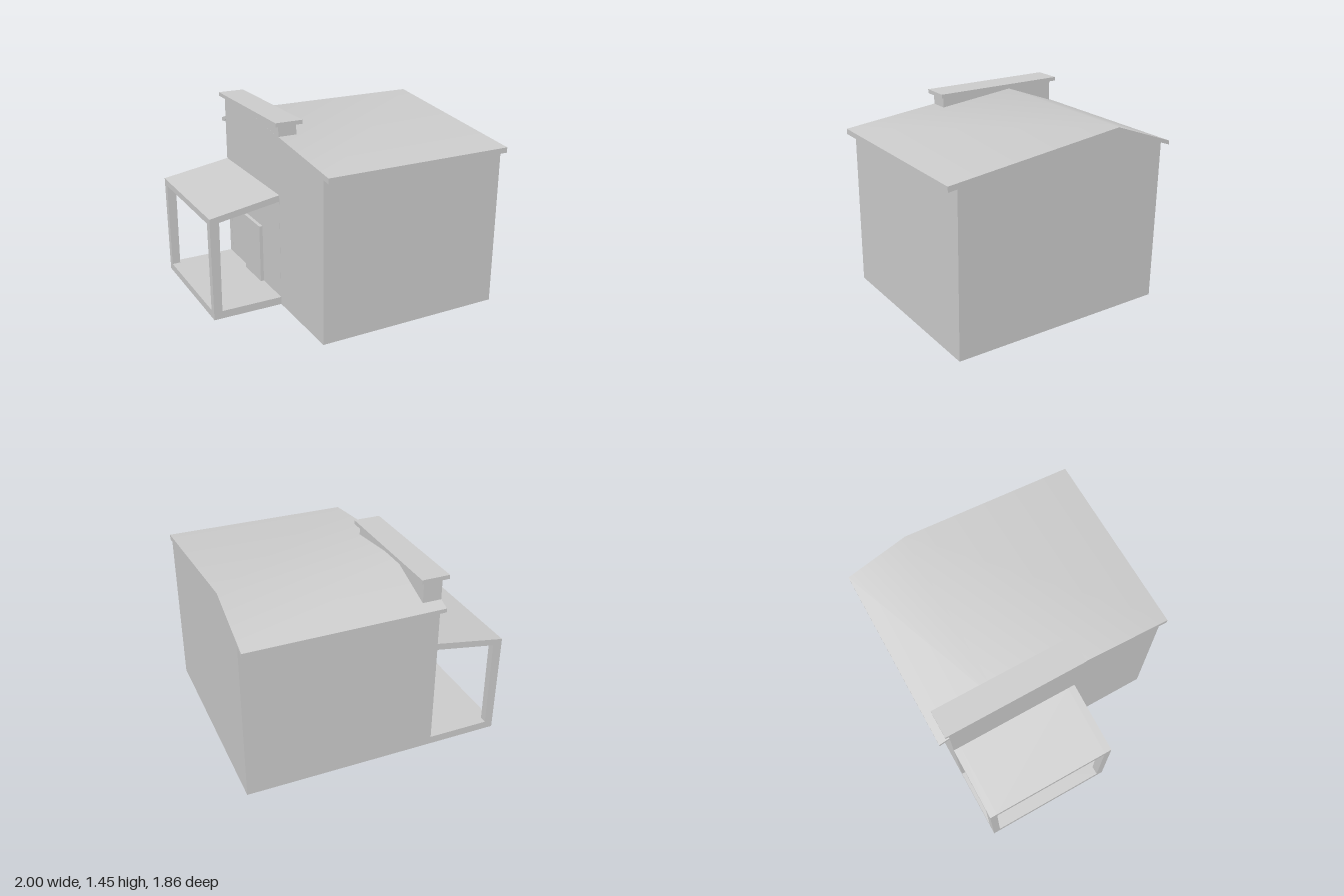
import * as THREE from 'three';
import { toCreasedNormals } from 'three/addons/utils/BufferGeometryUtils.js';

const material = new THREE.MeshStandardMaterial({ color: 0xcccccc });

const toShape = (points) => new THREE.Shape(points.map(([a, b]) => new THREE.Vector2(a, b)));

function addMesh(parent, name, geometry) {
  const mesh = new THREE.Mesh(geometry, material);
  mesh.name = name;
  parent.add(mesh);
  return mesh;
}

// Box given by its minimum and maximum corners
function addBox(parent, name, min, max) {
  const size = max.map((v, i) => v - min[i]);
  const geometry = new THREE.BoxGeometry(...size);
  geometry.translate(...max.map((v, i) => (v + min[i]) / 2));
  return addMesh(parent, name, geometry);
}

// Profile in (z, y) swept along x
function sweepX(shape, x0, x1) {
  const geometry = new THREE.ExtrudeGeometry(shape, { depth: x1 - x0, bevelEnabled: false });
  geometry.rotateY(-Math.PI / 2);
  geometry.translate(x1, 0, 0);
  return toCreasedNormals(geometry, 0.6); // soft ridge, sharp corners
}

// Profile in (x, y) swept along z
function sweepZ(shape, z0, z1) {
  const geometry = new THREE.ExtrudeGeometry(shape, { depth: z1 - z0, bevelEnabled: false });
  geometry.translate(0, 0, z0);
  return geometry;
}

export function createModel() {
  const house = new THREE.Group();
  house.name = 'house';

  const wallX = -0.455, back = -0.845, front = 0.86;

  // Main block with an off-centre ridge and overhanging eaves
  addMesh(house, 'mainBlock', sweepX(toShape([
    [back, 0], [front, 0], [front, 1.217], [0.928, 1.21], [0.928, 1.25],
    [-0.435, 1.4], [-0.928, 1.22], [-0.928, 1.19], [back, 1.22],
  ]), wallX, 1));

  // Parapet rising from the roof along the side wall, with its cap
  addMesh(house, 'parapet', sweepX(toShape([
    [0.178, 1.333], [0.178, 1.415], [back, 1.415], [back, 1.25], [-0.435, 1.4],
  ]), wallX, -0.313));
  addBox(house, 'parapetCap', [-0.49, 1.415, -0.877], [-0.28, 1.445, 0.21]);

  // Side porch: open end frames joined by floor, sloping roof
  const porch = new THREE.Group();
  porch.name = 'porch';
  house.add(porch);
  const z0 = back, z1 = 0.172, post = 0.055;
  const outline = [[-1, 0], [wallX, 0], [wallX, 0.89], [-1, 0.8]];
  const opening = [[-0.935, 0.06], [wallX - 0.001, 0.06], [wallX - 0.001, 0.84], [-0.928, 0.763]];
  const frame = toShape(outline);
  frame.holes.push(toShape(opening));
  addMesh(porch, 'backFrame', sweepZ(frame, z0, z0 + post));
  addMesh(porch, 'frontFrame', sweepZ(frame, z1 - post, z1));
  addBox(porch, 'porchFloor', [-1, 0, z0 + post], [wallX, 0.06, z1 - post]);
  addMesh(porch, 'porchRoof', sweepZ(
    toShape([[-1, 0.751], [wallX, 0.84], [wallX, 0.89], [-1, 0.8]]), z0 + post, z1 - post));

  // Door on the wall inside the porch
  addBox(porch, 'door', [-0.482, 0.06, -0.45], [wallX, 0.53, -0.15]);

  return house;
}
